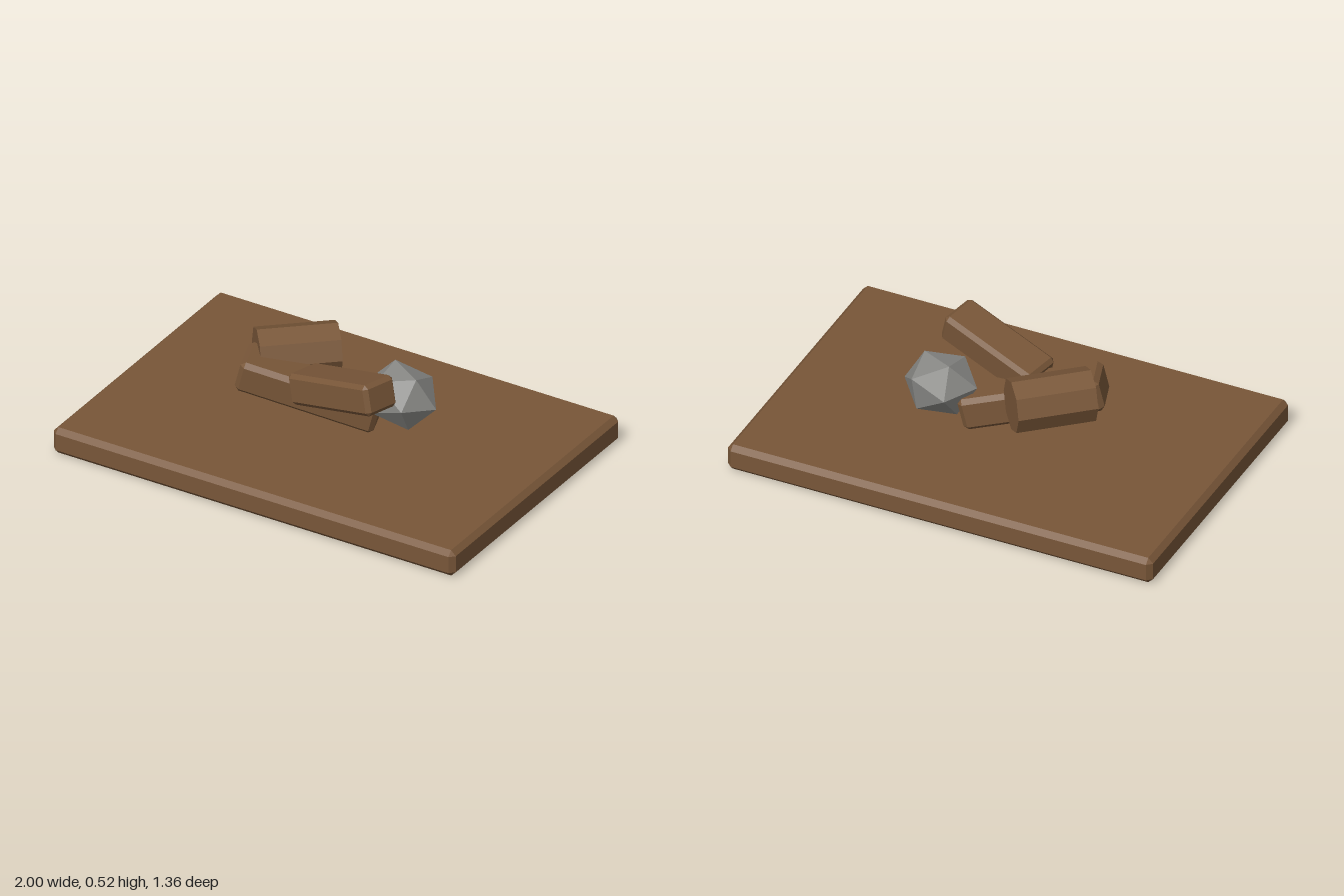
import * as THREE from 'three';
import { ConvexGeometry } from 'three/addons/geometries/ConvexGeometry.js';

// Box with every edge cut flat by c
function chamferedBox(w, h, d, c) {
  const half = [w / 2, h / 2, d / 2];
  const points = [];
  for (const sx of [-1, 1]) for (const sy of [-1, 1]) for (const sz of [-1, 1])
    for (let axis = 0; axis < 3; axis++) {
      const p = [sx, sy, sz].map((s, i) => s * (half[i] - (i === axis ? 0 : c)));
      points.push(new THREE.Vector3(...p));
    }
  return new ConvexGeometry(points);
}

// Twelve-cornered stone: two end points and two staggered rings of five
function stoneGeometry(length, radius, phase) {
  const points = [new THREE.Vector3(length, 0, 0), new THREE.Vector3(-length, 0, 0)];
  for (let i = 0; i < 10; i++) {
    const a = phase + (i * Math.PI) / 5;
    points.push(new THREE.Vector3(
      (i % 2 ? -1 : 1) * 0.447 * length,
      -0.894 * radius * Math.cos(a),
      0.894 * radius * Math.sin(a)));
  }
  return new ConvexGeometry(points);
}

export function createModel() {
  const model = new THREE.Group();
  const wood = new THREE.MeshStandardMaterial({ color: 0x785638, flatShading: true });
  wood.name = 'brown wood';
  const stone = new THREE.MeshStandardMaterial({ color: 0x868683, flatShading: true });
  stone.name = 'grey stone';

  function add(name, geometry, material, position, rotation = [0, 0, 0]) {
    const mesh = new THREE.Mesh(geometry, material);
    mesh.name = name;
    mesh.position.set(...position);
    mesh.rotation.set(...rotation, 'YZX'); // roll, yaw, pitch
    model.add(mesh);
  }

  // Slab
  add('baseBoard', chamferedBox(2, 0.125, 1.36, 0.023), wood, [0, 0.0625, 0]);

  // Squared timbers
  add('lowerTimber', chamferedBox(0.62, 0.15, 0.2, 0.02), wood,
    [-0.105, 0.275, 0.03], [0.05, 0.34, -0.24]);
  add('upperTimber', chamferedBox(0.48, 0.14, 0.18, 0.018), wood,
    [0.115, 0.385, 0.137], [-0.07, -0.21, 0.265]);

  // Eight-sided log lying level
  const log = new THREE.CylinderGeometry(0.12, 0.12, 0.35, 8);
  log.rotateZ(Math.PI / 2);
  add('backLog', log, wood, [-0.24, 0.36, -0.078], [0, 0.715, 0]);

  // Stone
  add('rock', stoneGeometry(0.172, 0.146, 0.38), stone,
    [0.275, 0.298, -0.085], [0, 0, -0.12]);

  return model;
}
